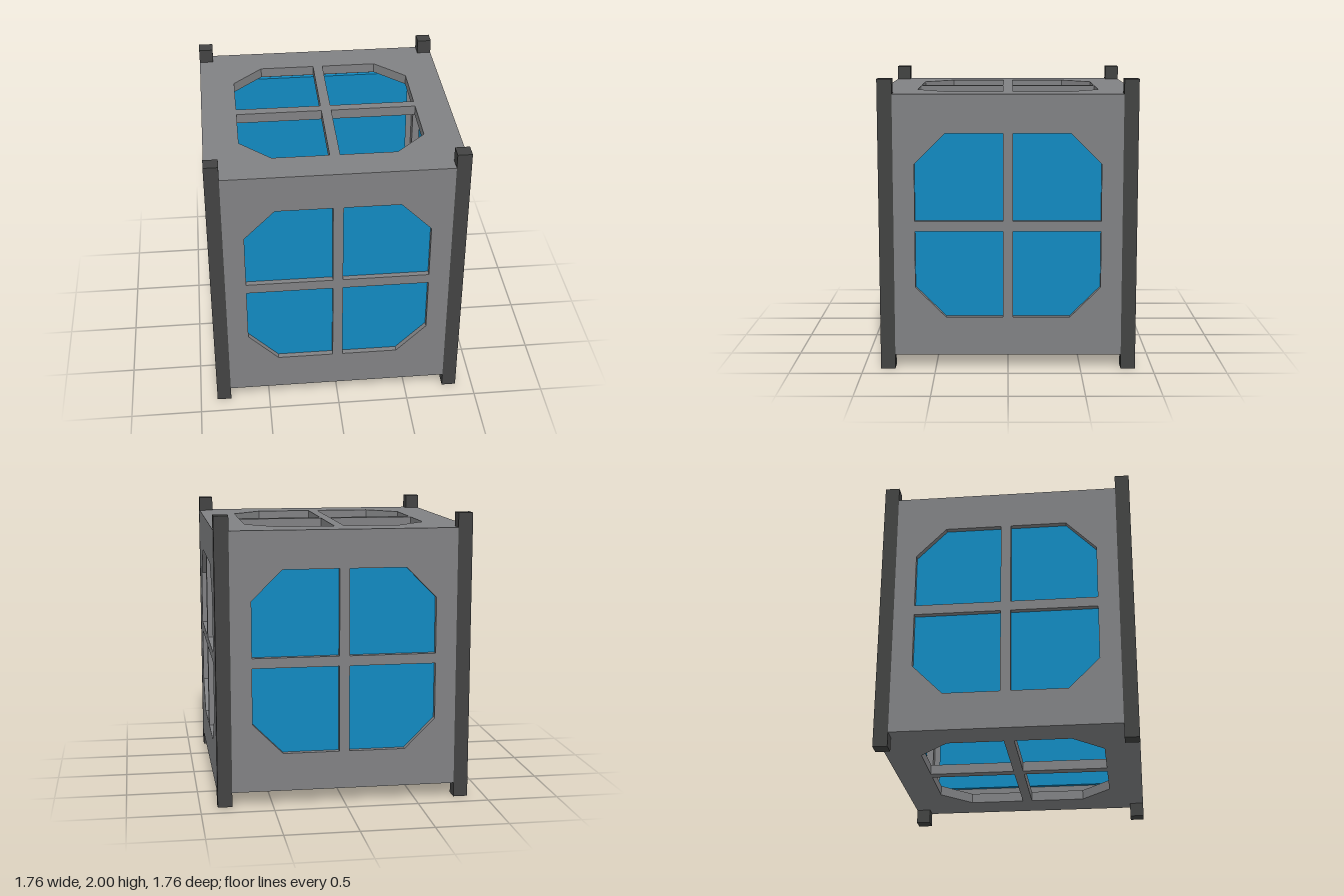
import * as THREE from 'three';

const GREY = new THREE.MeshStandardMaterial({ color: 0x808183, flatShading: true });
const DARK = new THREE.MeshStandardMaterial({ color: 0x424342, flatShading: true });
const BLUE = new THREE.MeshStandardMaterial({ color: 0x1289c0, flatShading: true });

const HALF = 0.88;      // half width of the whole body
const POST = 0.10;      // side of a corner post
const BODY = 0.90;      // half height of the panelled body
const WALL = 0.04;      // thickness of a side frame
const PLATE = 0.07;     // thickness of the top and bottom frames
const BAR = 0.035;      // half width of the crossbars
const OPEN = 0.635;     // half width of the window
const CUT = 0.425;      // where the chamfered window corner starts

function mesh(name, geometry, material, parent) {
  const m = new THREE.Mesh(geometry, material);
  m.name = name;
  parent.add(m);
  return m;
}

// Rectangular frame with a chamfered window split in four by a cross
function frameGeometry(halfW, halfH, depth) {
  const shape = new THREE.Shape([
    [-halfW, -halfH], [halfW, -halfH], [halfW, halfH], [-halfW, halfH],
  ].map(([x, y]) => new THREE.Vector2(x, y)));
  for (const sx of [-1, 1]) {
    for (const sy of [-1, 1]) {
      const quarter = [[BAR, BAR], [OPEN, BAR], [OPEN, CUT], [CUT, OPEN], [BAR, OPEN]];
      shape.holes.push(new THREE.Path(
        quarter.map(([x, y]) => new THREE.Vector2(sx * x, sy * y))));
    }
  }
  return new THREE.ExtrudeGeometry(shape, { depth, bevelEnabled: false });
}

export function createModel() {
  const model = new THREE.Group();
  model.name = 'windowedCube';

  // Four sides: a frame flush with the posts and a pane set behind it
  const sideGeo = frameGeometry(HALF - POST, BODY, WALL);
  const paneGeo = new THREE.BoxGeometry(1.44, 1.44, 0.03);
  ['front', 'left', 'back', 'right'].forEach((name, i) => {
    const side = new THREE.Group();
    side.name = name + 'Side';
    side.position.y = 1;
    side.rotation.y = i * Math.PI / 2;
    mesh(name + 'Frame', sideGeo, GREY, side).position.z = HALF - WALL;
    mesh(name + 'Pane', paneGeo, BLUE, side).position.z = HALF - WALL - 0.015;
    model.add(side);
  });

  // Open top and bottom frames, fitted between the sides
  const plateGeo = frameGeometry(HALF - WALL, HALF - WALL, PLATE);
  plateGeo.rotateX(-Math.PI / 2);
  mesh('topFrame', plateGeo, GREY, model).position.y = 1 + BODY - PLATE;
  mesh('bottomFrame', plateGeo, GREY, model).position.y = 1 - BODY;

  // Corner posts, with a grey lining strip inside each corner
  const postGeo = new THREE.BoxGeometry(POST, 2, POST);
  const liningGeo = new THREE.BoxGeometry(0.07, 2 * (BODY - PLATE), 0.07);
  for (const sx of [-1, 1]) {
    for (const sz of [-1, 1]) {
      const c = HALF - POST / 2;
      mesh('cornerPost', postGeo, DARK, model).position.set(sx * c, 1, sz * c);
      mesh('cornerLining', liningGeo, GREY, model).position.set(sx * 0.8, 1, sz * 0.8);
    }
  }
  return model;
}
